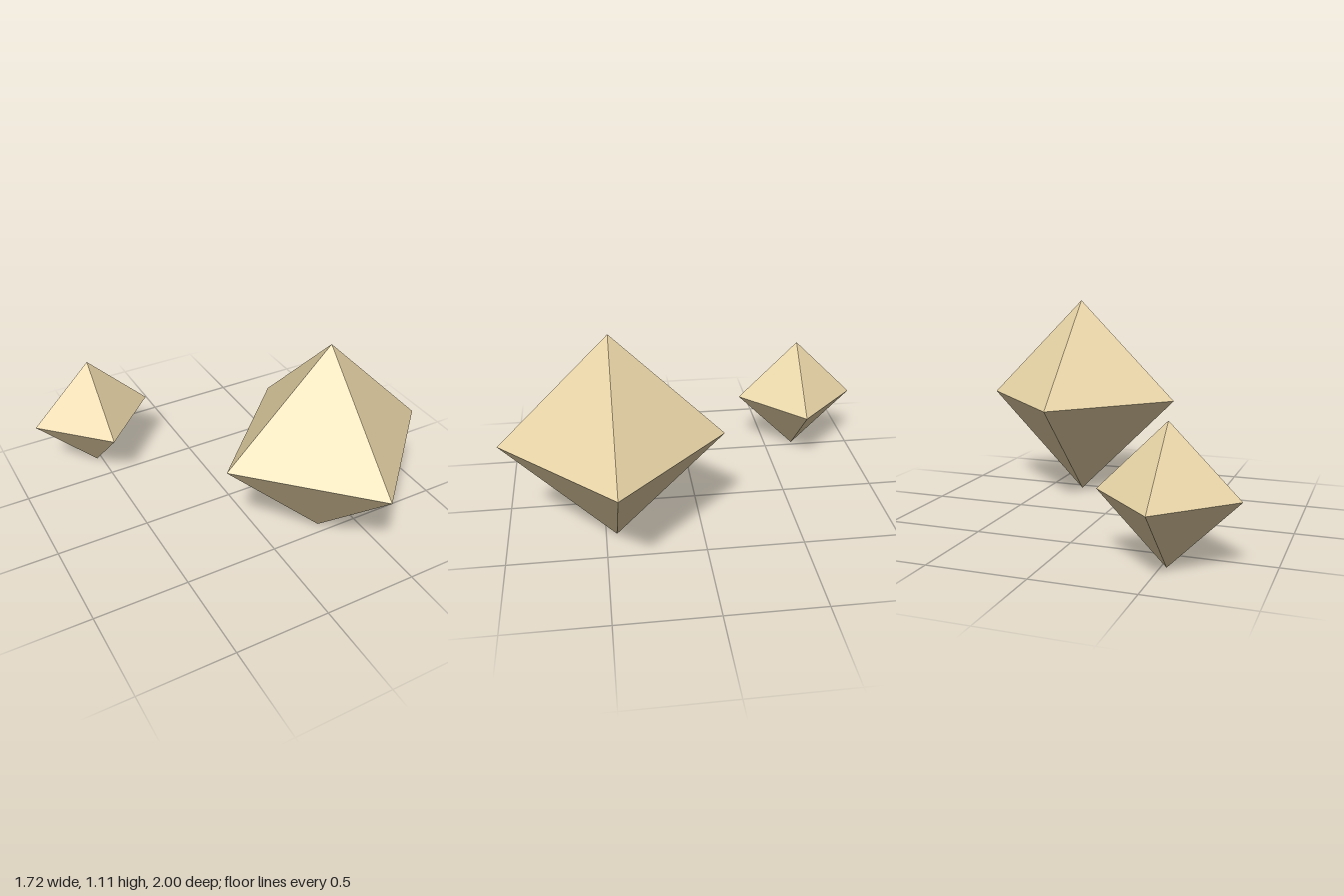
import * as THREE from 'three';

export function createModel() {
  const group = new THREE.Group();
  const material = new THREE.MeshStandardMaterial({ color: 0xe8d4a6, flatShading: true });

  // Regular octahedron standing on its lower tip
  const addCrystal = (name, radius, x, z) => {
    const crystal = new THREE.Mesh(new THREE.OctahedronGeometry(radius), material);
    crystal.name = name;
    crystal.position.set(x, radius, z);
    group.add(crystal);
  };

  addCrystal('largeCrystal', 0.5555, 0.305, 0.4445);
  addCrystal('smallCrystal', 0.3333, -0.5275, -0.6667);

  return group;
}
